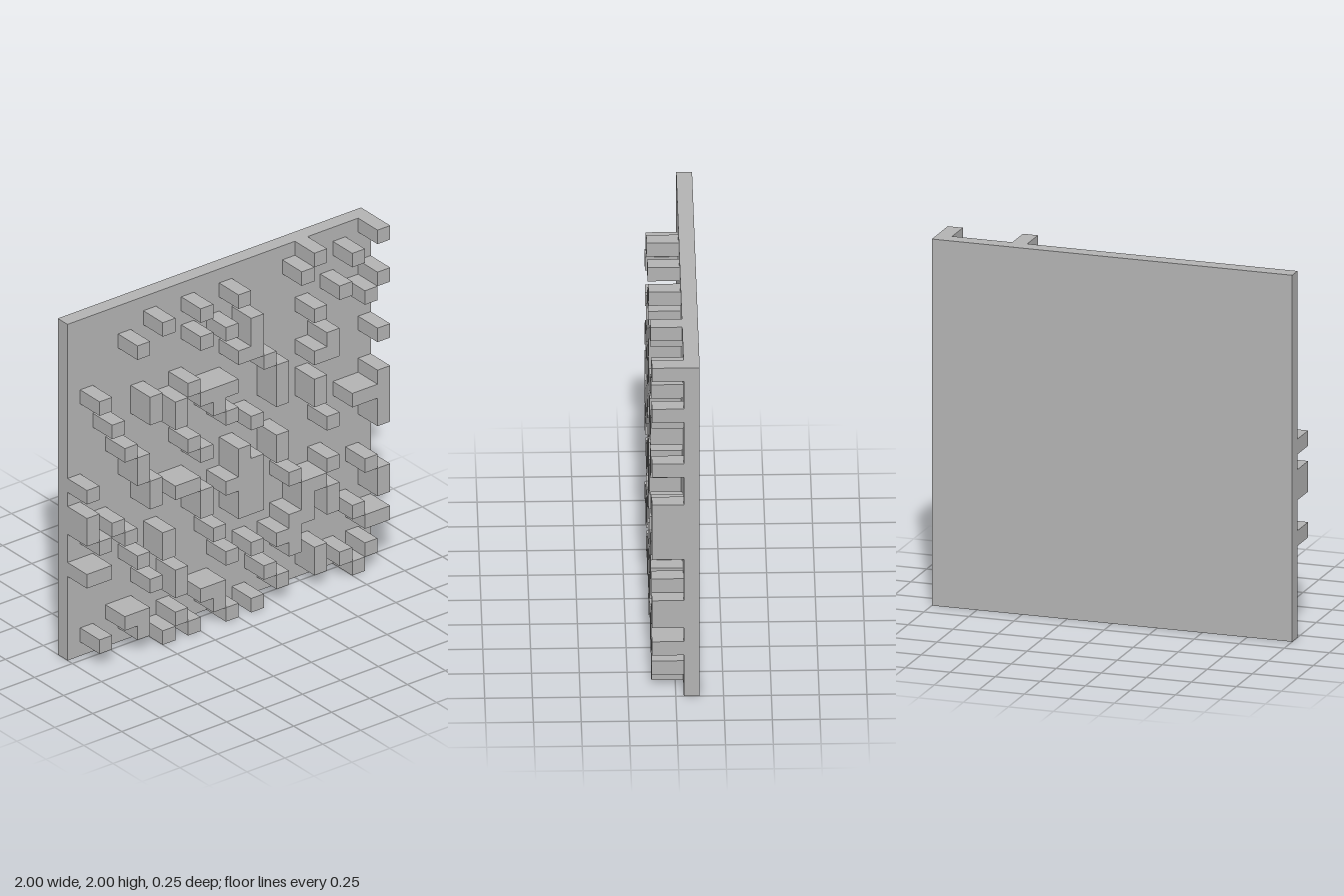
import * as THREE from 'three';

const N = 24;           // cells per side
const CELL = 2 / N;     // cell size
const DEPTH = 3 * CELL; // one cell of slab plus two cells of block

// Block layout, one text row per grid row from top to bottom
const LAYOUT = [
  '..................#....#',
  '......#..#..#....#...#..',
  '....#...................',
  '.........#.#.#......#..#',
  '.............#....#...#.',
  '.#..........##..........',
  '.....#..#.....#....#....',
  '..#..#.#.###...#..##...#',
  '.......#..#....#........',
  '...#.......#...#..#.....',
  '....#...#....#....#....#',
  '#...#....#...........###',
  '.....#......#..#...#...#',
  '#....#.##...##.#.......#',
  '#.#......#.###..........',
  '.#.#.....#..##..#..#....',
  '......#.....##...##...#.',
  '##..#.#...#......#.#...#',
  '................##.#...#',
  '.....#.#...#.#.##....#..',
  '.......#........#.....##',
  '...##....##...#...#.....',
  '.#..#..#..#....#..#.#.#.',
  '......#.#..#.#.......#..',
];

export function createModel() {
  const group = new THREE.Group();
  group.name = 'blockPanel';
  const grey = new THREE.MeshStandardMaterial({ color: 0xb2b2b2 });
  grey.name = 'grey';

  // Backing slab
  const slab = new THREE.Mesh(new THREE.BoxGeometry(2, 2, CELL), grey);
  slab.name = 'backSlab';
  slab.position.set(0, 1, -DEPTH / 2 + CELL / 2);
  group.add(slab);

  // Raised blocks: neighbouring cells join into the largest run
  const blocks = new THREE.Group();
  blocks.name = 'raisedBlocks';
  group.add(blocks);
  const used = new Set();
  const free = (c, r) => LAYOUT[r]?.[c] === '#' && !used.has(r * N + c);

  for (let r = 0; r < N; r++) {
    for (let c = 0; c < N; c++) {
      if (!free(c, r)) continue;
      let w = 1;
      while (free(c + w, r)) w++;
      const rowFree = (row) => {
        for (let i = 0; i < w; i++) if (!free(c + i, row)) return false;
        return true;
      };
      let h = 1;
      while (rowFree(r + h)) h++;
      for (let j = 0; j < h; j++) for (let i = 0; i < w; i++) used.add((r + j) * N + c + i);

      const block = new THREE.Mesh(new THREE.BoxGeometry(w * CELL, h * CELL, 2 * CELL), grey);
      block.name = 'raisedBlock';
      block.position.set(-1 + (c + w / 2) * CELL, 2 - (r + h / 2) * CELL, CELL / 2);
      blocks.add(block);
    }
  }
  return group;
}
